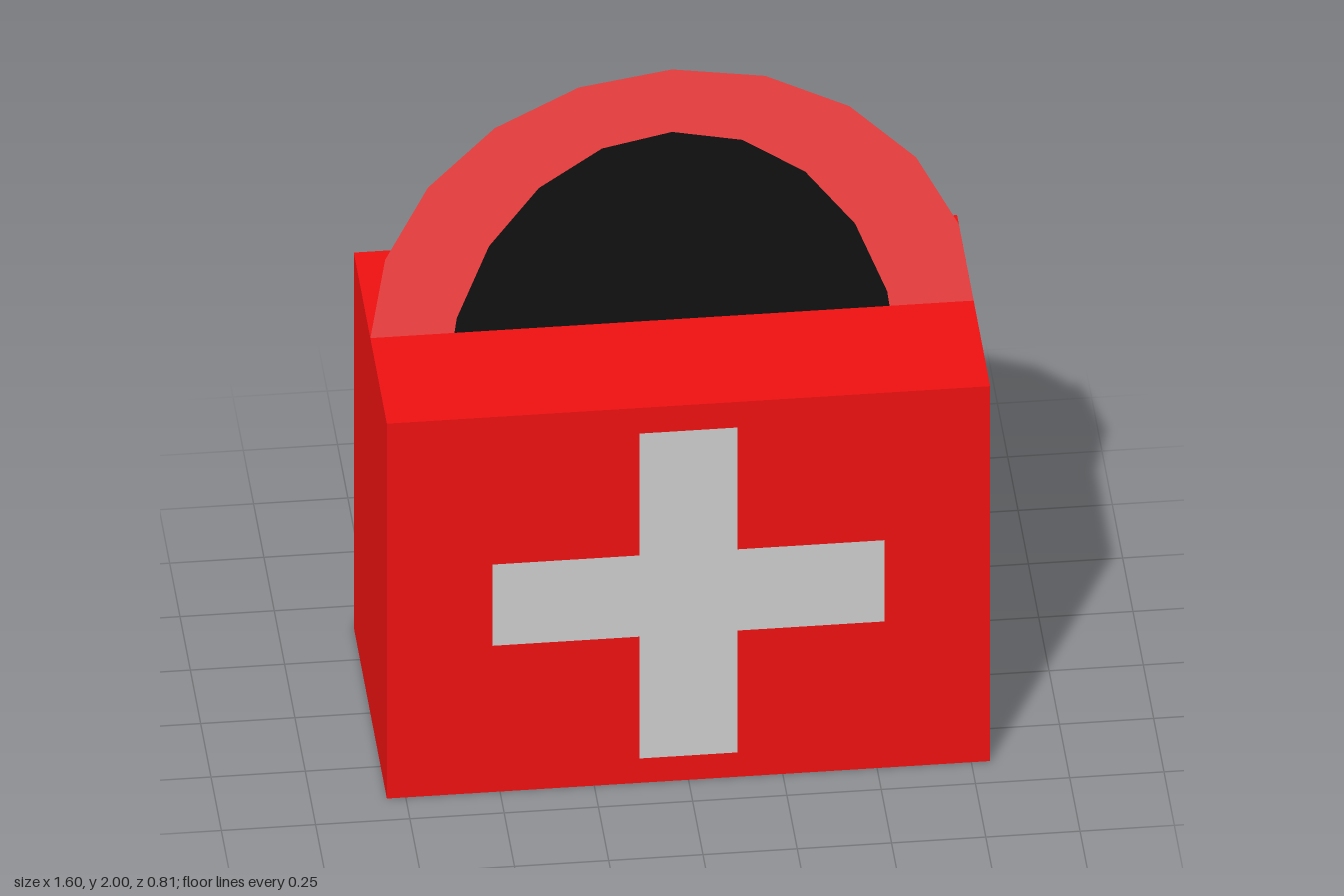
import * as THREE from 'three';

const W = 1.6, H = 1.2, D = 0.8;

const paint = (color, side = THREE.FrontSide) =>
  new THREE.MeshStandardMaterial({ color, side, flatShading: true });

function add(group, name, geometry, material) {
  const mesh = new THREE.Mesh(geometry, material);
  mesh.name = name;
  group.add(mesh);
  return mesh;
}

// Ten-sided half ellipse, running from right to left over the top
function arch(rx, ry, cy) {
  return Array.from({ length: 11 }, (_, i) => {
    const a = (i / 10) * Math.PI;
    return new THREE.Vector2(rx * Math.cos(a), cy + ry * Math.sin(a));
  });
}

// Plus sign with arms of half length r and half width w
function crossShape(r, w) {
  return new THREE.Shape([
    [r, -w], [r, w], [w, w], [w, r], [-w, r], [-w, w],
    [-r, w], [-r, -w], [-w, -w], [-w, -r], [w, -r], [w, -w],
  ].map(([x, y]) => new THREE.Vector2(x, y)));
}

export function createModel() {
  const group = new THREE.Group();
  group.name = 'firstAidCase';

  // Case body
  const body = add(group, 'caseBody', new THREE.BoxGeometry(W, H, D), paint(0xee1111));
  body.position.y = H / 2;

  // Opening under the handle: a narrower arch cut off at the lid
  const inner = arch(0.6, 0.8, 1.0).slice(1, -1);
  const opening = [new THREE.Vector2(0.577, H), ...inner, new THREE.Vector2(-0.577, H)];

  // Paper-thin handle band and the dark panel that fills it
  const band = new THREE.Shape([...arch(0.8, 0.8, H), ...opening.slice().reverse()]);
  add(group, 'handle', new THREE.ShapeGeometry(band), paint(0xff4444, THREE.DoubleSide));
  add(group, 'handleOpening', new THREE.ShapeGeometry(new THREE.Shape(opening)),
    paint(0x111111, THREE.DoubleSide));

  // Flat crosses on the front and the back
  const crossGeometry = new THREE.ShapeGeometry(crossShape(0.52, 0.13));
  const grey = paint(0xcccccc);
  for (const s of [1, -1]) {
    const cross = add(group, s > 0 ? 'frontCross' : 'backCross', crossGeometry, grey);
    cross.position.set(0, H / 2, s * (D / 2 + 0.003));
    cross.rotation.y = s > 0 ? 0 : Math.PI;
  }
  return group;
}
